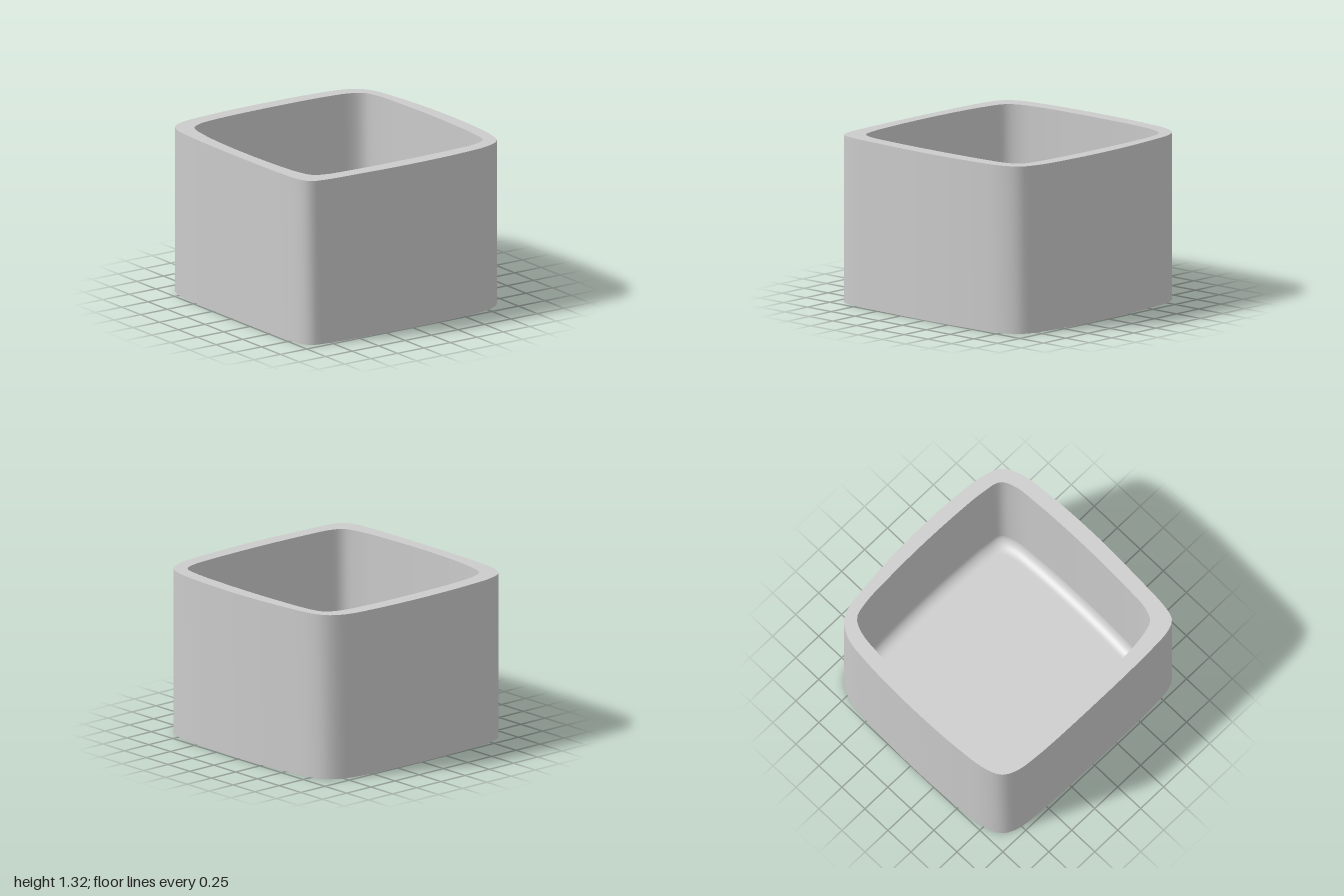
import * as THREE from 'three';
import { toCreasedNormals } from 'three/addons/utils/BufferGeometryUtils.js';

const HEIGHT = 1.315;
const SEGMENTS = 160;

// Plan outlines as [x, z], counter-clockwise seen from above
const OUTER = [
  [0, -1], [-0.5, -0.985], [-0.77, -0.952], [-0.89, -0.895], [-0.945, -0.79], [-0.97, -0.61],
  [-0.985, 0], [-0.977, 0.66], [-0.957, 0.85], [-0.912, 0.93], [-0.8, 0.962], [-0.5, 0.983],
  [0, 1], [0.5, 0.982], [0.755, 0.945], [0.89, 0.868], [0.948, 0.71], [0.975, 0.45],
  [0.985, 0.13], [0.977, -0.19], [0.945, -0.56], [0.912, -0.765], [0.858, -0.868], [0.73, -0.945], [0.5, -0.98],
];
const INNER = [
  [0, -0.878], [-0.5, -0.862], [-0.71, -0.828], [-0.803, -0.765], [-0.85, -0.58], [-0.874, -0.34],
  [-0.884, 0], [-0.874, 0.4], [-0.85, 0.66], [-0.807, 0.797], [-0.71, 0.845], [-0.5, 0.865],
  [0, 0.878], [0.5, 0.865], [0.71, 0.843], [0.813, 0.79], [0.85, 0.635], [0.869, 0.345],
  [0.876, 0], [0.869, -0.34], [0.85, -0.635], [0.81, -0.773], [0.71, -0.832], [0.5, -0.864],
];

// Smooth closed outline in shape space (y = -z)
function outline(points) {
  const curve = new THREE.CatmullRomCurve3(points.map(([x, z]) => new THREE.Vector3(x, -z, 0)), true, 'centripetal');
  return curve.getSpacedPoints(SEGMENTS).slice(0, SEGMENTS).map((p) => new THREE.Vector2(p.x, p.y));
}

// Sheet made of shrinking rings: the profile lists [inset, y] from the rim inward
function sheet(loop, profile) {
  const positions = [], indices = [], n = loop.length;
  for (const [inset, y] of profile) {
    const s = 1 - inset / 0.87;
    for (const p of loop) positions.push(p.x * s, y, -p.y * s);
  }
  for (let r = 0; r < profile.length - 1; r++) {
    for (let j = 0; j < n; j++) {
      const a = r * n + j, b = r * n + (j + 1) % n;
      indices.push(a, b, a + n, b, b + n, a + n);
    }
  }
  // Close the middle with a fan
  const last = (profile.length - 1) * n, centre = positions.length / 3;
  positions.push(0, profile[profile.length - 1][1], 0);
  for (let j = 0; j < n; j++) indices.push(last + j, last + (j + 1) % n, centre);
  const geometry = new THREE.BufferGeometry();
  geometry.setAttribute('position', new THREE.Float32BufferAttribute(positions, 3));
  geometry.setIndex(indices);
  geometry.computeVertexNormals();
  return geometry;
}

// Quarter-round edge that meets the wall upright and ends flat
function filletProfile(radius, y) {
  const profile = [];
  for (let i = 0; i <= 10; i++) {
    const a = (i / 10) * Math.PI / 2;
    profile.push([radius * (1 - Math.cos(a)), y + radius * (1 - Math.sin(a))]);
  }
  profile.push([radius + 0.03, y], [0.5, y]);
  return profile;
}

export function createModel() {
  const group = new THREE.Group();
  group.name = 'planter';
  const add = (name, geometry, side) => {
    const mesh = new THREE.Mesh(geometry, new THREE.MeshStandardMaterial({ color: 0xcccccc, side }));
    mesh.name = name;
    group.add(mesh);
  };

  // Upright wall, open at both ends
  const inner = outline(INNER);
  const shape = new THREE.Shape(outline(OUTER));
  shape.holes.push(new THREE.Path(inner));
  const wall = new THREE.ExtrudeGeometry(shape, { depth: HEIGHT, bevelEnabled: false });
  wall.rotateX(-Math.PI / 2);
  add('wall', toCreasedNormals(wall, Math.PI / 5), THREE.FrontSide);

  // Thin floor curving up into the wall, just above the ground
  add('floor', sheet(inner, filletProfile(0.095, 0.012)), THREE.DoubleSide);

  return group;
}
